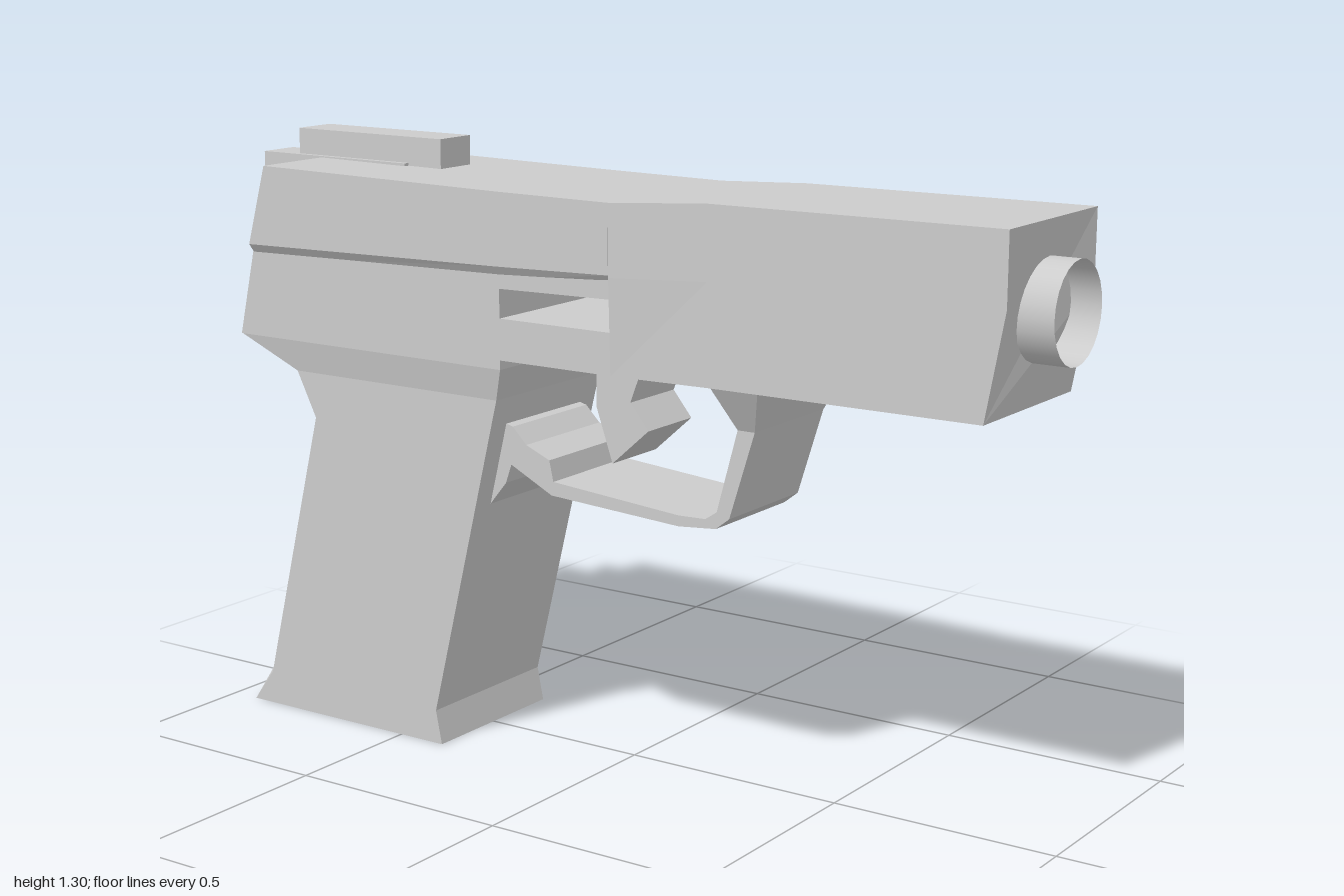
import * as THREE from 'three';

const material = new THREE.MeshStandardMaterial({ color: 0xcccccc, flatShading: true });
const openMaterial = new THREE.MeshStandardMaterial({ color: 0xcccccc, side: THREE.DoubleSide });

// Joins equal-length closed loops of points, caps both ends and faces outward.
function loft(loops) {
  const tris = [];
  const n = loops[0].length;
  for (let s = 0; s < loops.length - 1; s++) {
    for (let i = 0; i < n; i++) {
      const j = (i + 1) % n;
      const [a, b, c, d] = [loops[s][i], loops[s][j], loops[s + 1][j], loops[s + 1][i]];
      tris.push([a, b, c], [a, c, d]);
    }
  }
  const last = loops[loops.length - 1];
  for (let i = 1; i < n - 1; i++) {
    tris.push([loops[0][0], loops[0][i + 1], loops[0][i]], [last[0], last[i], last[i + 1]]);
  }
  let volume = 0;
  const v = tris.map(t => t.map(p => new THREE.Vector3(...p)));
  for (const [a, b, c] of v) volume += a.dot(b.clone().cross(c));
  if (volume < 0) v.forEach(t => t.reverse());
  const geometry = new THREE.BufferGeometry().setFromPoints(v.flat());
  geometry.computeVertexNormals();
  return geometry;
}

// Completes a half section (z > 0) with its mirror image.
const mirrored = half => [...half, ...half.map(([x, y, z]) => [x, y, -z]).reverse()];

// Extrudes a side profile symmetrically about z = 0.
function plate(points, halfWidth, hole) {
  const toVectors = list => list.map(p => new THREE.Vector2(...p));
  const shape = new THREE.Shape(toVectors(points));
  if (hole) shape.holes.push(new THREE.Path(toVectors(hole)));
  return new THREE.ExtrudeGeometry(shape, { depth: 2 * halfWidth, bevelEnabled: false })
    .translate(0, 0, -halfWidth);
}

// Box given by its lower and upper corners.
function block(x0, x1, y0, y1, z0, z1) {
  return new THREE.BoxGeometry(x1 - x0, y1 - y0, z1 - z0)
    .translate((x0 + x1) / 2, (y0 + y1) / 2, (z0 + z1) / 2);
}

export function createModel() {
  const group = new THREE.Group();
  const add = (name, geometry, mat = material) => {
    const mesh = new THREE.Mesh(geometry, mat);
    mesh.name = name;
    group.add(mesh);
  };

  // Upper rear body with an undercut lower edge and a slanted back
  add('slide', loft([
    [[-0.88, 1.035, 0.19], [-0.88, 1.065, 0.213], [-0.83, 1.24, 0.213]],
    [[-0.2, 1.05, 0.192], [-0.2, 1.078, 0.212], [-0.2, 1.232, 0.212]],
    [[0.08, 1.075, 0.2], [0.08, 1.085, 0.208], [0.08, 1.23, 0.208]],
  ].map(mirrored)));

  // Front body, narrowing to a straight box with a raked nose
  add('frontBody', loft([
    [[0.08, 0.88, 0.2], [0.08, 1.08, 0.207], [0.08, 1.23, 0.208]],
    [[0.3, 0.88, 0.186], [0.3, 1.09, 0.186], [0.3, 1.243, 0.186]],
    [[0.905, 0.882, 0.185], [0.945, 1.1, 0.185], [0.945, 1.247, 0.185]],
  ].map(mirrored)));

  // Lower frame with a slot cut right through
  add('frame', plate(
    [[-0.925, 0.86], [-0.2, 0.86], [-0.2, 0.88], [0.085, 0.88], [0.085, 1.08], [-0.2, 1.065], [-0.88, 1.055]],
    0.199,
    [[-0.2, 0.968], [0.081, 0.968], [0.081, 1.035], [-0.2, 1.03]],
  ));

  // Grip rows: y, front x, back corner x, back centre x, half width
  add('grip', loft([
    [0, -0.385, -0.935, -0.936, 0.185],
    [0.075, -0.4, -0.88, -0.932, 0.185],
    [0.69, -0.247, -0.725, -0.772, 0.185],
    [0.79, -0.222, -0.775, -0.781, 0.185],
    [0.861, -0.2, -0.924, -0.925, 0.199],
  ].map(([y, front, corner, back, w]) => mirrored([
    [front, y, w], [corner, y, w], [back, y, 0.11],
  ]))));

  // Trigger guard loop with its tang against the grip
  add('triggerGuard', plate([
    [0.38, 0.79], [0.322, 0.605], [0.29, 0.58], [0.2, 0.572], [-0.12, 0.59], [-0.225, 0.642],
    [-0.24, 0.6], [-0.285, 0.545], [-0.29, 0.56], [-0.24, 0.73], [-0.22, 0.725],
    [-0.185, 0.69], [-0.125, 0.665], [-0.115, 0.62], [0.2, 0.595], [0.265, 0.597],
    [0.292, 0.615], [0.34, 0.79],
  ], 0.132));

  // Flared foot joining the guard to the body
  add('guardMount', loft([
    mirrored([[0.34, 0.79, 0.132], [0.38, 0.79, 0.132]]),
    mirrored([[0.305, 0.885, 0.185], [0.418, 0.885, 0.185]]),
  ]));

  // Trigger
  add('trigger', plate([
    [-0.04, 0.89], [-0.04, 0.78], [0, 0.665], [0.09, 0.745], [0.045, 0.8], [0.08, 0.89],
  ], 0.08));

  // Rear block and top sight, set slightly off centre
  add('rearBlock', block(-1, -0.59, 0.97, 1.243, -0.07, 0.025));
  add('topSight', block(-0.905, -0.5, 1.23, 1.3, -0.09, 0.012));

  // Open muzzle ring
  add('muzzle', new THREE.CylinderGeometry(0.102, 0.102, 0.08, 24, 1, true)
    .rotateZ(Math.PI / 2).translate(0.96, 1.073, 0), openMaterial);

  return group;
}
